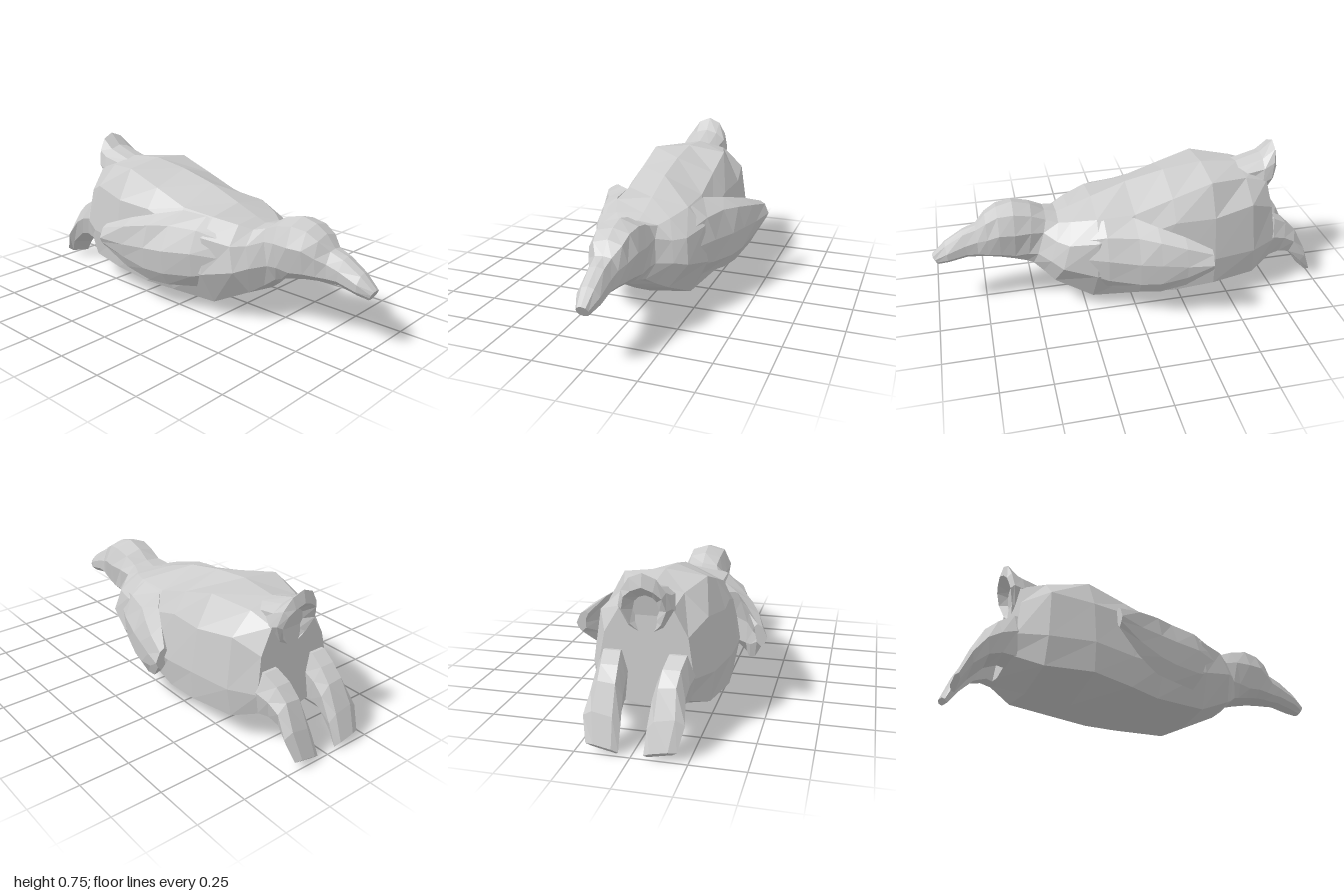
import * as THREE from 'three';

const material = new THREE.MeshStandardMaterial({ color: 0xcccccc, flatShading: true });

// Skin closed rings of [x, y, z], ordered front to back, clockwise seen from the front
function loft(name, rings) {
  const n = rings[0].length, last = (rings.length - 1) * n, index = [];
  for (let i = 0; i < rings.length - 1; i++) {
    for (let j = 0; j < n; j++) {
      const a = i * n + j, b = i * n + (j + 1) % n;
      index.push(a, b, a + n, b, b + n, a + n);
    }
  }
  for (let k = 1; k < n - 1; k++) index.push(0, k + 1, k, last, last + k, last + k + 1);
  const geometry = new THREE.BufferGeometry();
  geometry.setAttribute('position', new THREE.Float32BufferAttribute(rings.flat(2), 3));
  geometry.setIndex(index);
  geometry.computeVertexNormals();
  const mesh = new THREE.Mesh(geometry, material);
  mesh.name = name;
  return mesh;
}

// Symmetric ring: top and bottom on the centre line, side points on one half, tilted in z
function symmetricRing([zTop, zBottom, yTop, yBottom, ...side]) {
  const place = (x, y) => [x, y, zBottom + (zTop - zBottom) * (y - yBottom) / (yTop - yBottom)];
  return [
    place(0, yTop), ...side.map(([x, y]) => place(x, y)),
    place(0, yBottom), ...side.map(([x, y]) => place(-x, y)).reverse(),
  ];
}

const mirror = rings => rings.map(r => r.map(([x, y, z]) => [-x, y, z]).reverse());

// zTop, zBottom, yTop, yBottom, then side points from top to bottom
const beak = [
  [1.0, 0.97, 0.3, 0.245, [0.02, 0.295], [0.03, 0.28], [0.03, 0.265], [0.02, 0.25]],
  [0.93, 0.92, 0.365, 0.255, [0.03, 0.355], [0.055, 0.32], [0.055, 0.285], [0.03, 0.26]],
  [0.84, 0.82, 0.42, 0.278, [0.035, 0.41], [0.062, 0.36], [0.062, 0.31], [0.035, 0.283]],
  [0.77, 0.77, 0.44, 0.275, [0.04, 0.435], [0.07, 0.38], [0.07, 0.31], [0.04, 0.28]],
];
const head = [
  beak[3],
  [0.72, 0.72, 0.5, 0.275, [0.07, 0.48], [0.095, 0.4], [0.085, 0.31], [0.05, 0.28]],
  [0.66, 0.66, 0.535, 0.268, [0.08, 0.515], [0.12, 0.43], [0.1, 0.31], [0.06, 0.274]],
  [0.58, 0.59, 0.555, 0.255, [0.09, 0.525], [0.13, 0.43], [0.11, 0.3], [0.07, 0.26]],
  [0.49, 0.53, 0.53, 0.24, [0.085, 0.505], [0.125, 0.43], [0.12, 0.31], [0.08, 0.245]],
  [0.42, 0.5, 0.485, 0.23, [0.08, 0.475], [0.115, 0.42], [0.13, 0.31], [0.09, 0.235]],
];
const body = [
  head[5],
  [0.36, 0.46, 0.47, 0.18, [0.1, 0.46], [0.18, 0.4], [0.2, 0.3], [0.12, 0.2]],
  [0.3, 0.41, 0.49, 0.14, [0.14, 0.48], [0.235, 0.4], [0.255, 0.28], [0.17, 0.165]],
  [0.18, 0.22, 0.535, 0.045, [0.19, 0.505], [0.28, 0.42], [0.3, 0.24], [0.22, 0.075]],
  [0, -0.05, 0.6, 0.038, [0.2, 0.515], [0.26, 0.42], [0.3, 0.23], [0.25, 0.075]],
  [-0.2, -0.2, 0.645, 0.05, [0.2, 0.58], [0.27, 0.48], [0.31, 0.24], [0.29, 0.09]],
  [-0.4, -0.4, 0.67, 0.065, [0.2, 0.645], [0.285, 0.49], [0.32, 0.27], [0.31, 0.12]],
  [-0.6, -0.63, 0.65, 0.085, [0.14, 0.62], [0.25, 0.52], [0.285, 0.27], [0.265, 0.125]],
  [-0.72, -0.77, 0.62, 0.14, [0.12, 0.58], [0.19, 0.46], [0.22, 0.28], [0.19, 0.18]],
];
// Upturned tail, the last ring sinks in to hollow its back
const tail = [
  [-0.57, -0.57, 0.645, 0.4, [0.06, 0.635], [0.1, 0.61], [0.1, 0.54], [0.07, 0.45]],
  [-0.72, -0.68, 0.69, 0.42, [0.06, 0.675], [0.11, 0.64], [0.13, 0.57], [0.08, 0.47]],
  [-0.785, -0.72, 0.75, 0.43, [0.06, 0.725], [0.1, 0.665], [0.12, 0.59], [0.08, 0.5]],
  [-0.8, -0.725, 0.69, 0.44, [0.05, 0.67], [0.085, 0.64], [0.1, 0.58], [0.07, 0.51]],
  [-0.74, -0.715, 0.64, 0.45, [0.03, 0.63], [0.05, 0.61], [0.06, 0.57], [0.04, 0.52]],
];

// z, thickness, then outer points from top edge to bottom edge
const flipper = [
  [0.31, 0.08, [0.17, 0.44], [0.22, 0.41], [0.245, 0.33], [0.24, 0.26], [0.2, 0.2]],
  [0.15, 0.1, [0.2, 0.505], [0.28, 0.45], [0.325, 0.34], [0.315, 0.22], [0.26, 0.15]],
  [0, 0.12, [0.21, 0.505], [0.32, 0.45], [0.375, 0.33], [0.37, 0.21], [0.33, 0.14]],
  [-0.1, 0.06, [0.29, 0.485], [0.37, 0.44], [0.405, 0.33], [0.4, 0.22], [0.36, 0.145]],
  [-0.22, 0.05, [0.36, 0.455], [0.42, 0.42], [0.44, 0.33], [0.43, 0.26], [0.405, 0.2]],
  [-0.34, 0.04, [0.43, 0.41], [0.455, 0.395], [0.478, 0.345], [0.468, 0.32], [0.45, 0.3]],
].map(([z, t, ...outer]) => [
  ...outer.map(([x, y]) => [x, y, z]),
  ...outer.slice(1, 4).reverse().map(([x, y]) => [x - t, y, z]),
]);

// inner x, outer x, zTop, yTop, zBottom, yBottom, roll
const foot = [
  [0.09, 0.2, -0.6, 0.38, -0.6, 0.14, 0],
  [0.08, 0.225, -0.76, 0.385, -0.74, 0.15, 0],
  [0.07, 0.215, -0.83, 0.345, -0.8, 0.165, 0],
  [0.065, 0.21, -0.89, 0.28, -0.86, 0.14, 0.1],
  [0.058, 0.225, -0.95, 0.15, -0.93, 0.065, 0.2],
  [0.055, 0.2, -1.0, 0.025, -0.975, 0, 0.2],
].map(([x0, x1, zt, yt, zb, yb, roll]) => {
  const point = (u, v) => [
    x0 + (x1 - x0) * u,
    yb + (yt - yb) * v + roll * (x1 - x0) * u,
    zb + (zt - zb) * v,
  ];
  return [point(0.2, 1), point(0.75, 1), point(1, 0.6), point(0.85, 0.1), point(0.1, 0), point(0, 0.6)];
});

export function createModel() {
  const model = new THREE.Group();
  model.name = 'slidingBird';
  for (const [name, rings] of Object.entries({ beak, head, body, tail })) {
    model.add(loft(name, rings.map(symmetricRing)));
  }
  for (const [name, rings] of [['Flipper', flipper], ['Foot', foot]]) {
    model.add(loft('left' + name, rings), loft('right' + name, mirror(rings)));
  }
  return model;
}
